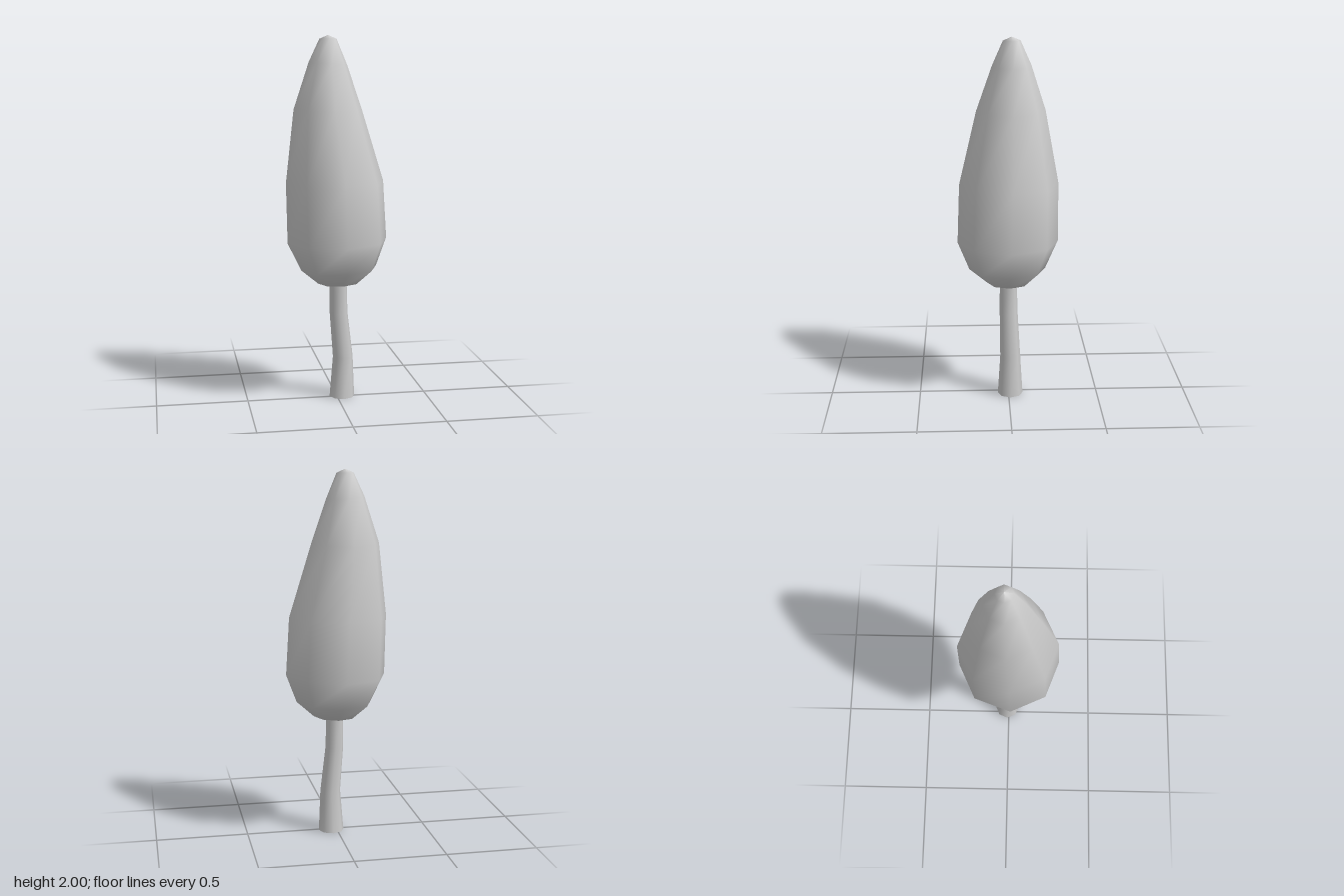
import * as THREE from 'three';

const SIDES = 8;

// Smooth skin through eight-sided rings [y, centreX, centreZ, radius, tilt];
// radius 0 makes a pole.
function loft(rings, twist) {
  const positions = [], index = [];
  for (const [y, cx, cz, r, tilt = 0] of rings) {
    for (let i = 0; i < SIDES; i++) {
      const a = (i / SIDES) * Math.PI * 2 + twist;
      const dx = Math.cos(a) * r;
      positions.push(cx + dx, y + dx * tilt, cz - Math.sin(a) * r);
    }
  }
  for (let j = 0; j < rings.length - 1; j++) {
    for (let i = 0; i < SIDES; i++) {
      const k = (i + 1) % SIDES;
      const a = j * SIDES + i, b = j * SIDES + k;
      const c = a + SIDES, d = b + SIDES;
      // skip the collapsed triangles at the poles
      if (rings[j][3] > 0) index.push(a, b, d);
      if (rings[j + 1][3] > 0) index.push(a, d, c);
    }
  }
  const geometry = new THREE.BufferGeometry();
  geometry.setAttribute('position', new THREE.Float32BufferAttribute(positions, 3));
  geometry.setIndex(index);
  geometry.computeVertexNormals();
  return geometry;
}

export function createModel() {
  const model = new THREE.Group();
  model.name = 'tree';

  // Crown: egg-shaped foliage leaning towards its tip
  const crown = new THREE.Mesh(
    loft([
      [0.63, 0, 0, 0],
      [0.655, 0.01, 0, 0.115, 0.03],
      [0.737, 0.01, 0.005, 0.21, 0.03],
      [0.89, 0.002, 0.002, 0.276, 0.025],
      [1.213, -0.01, -0.004, 0.27],
      [1.607, -0.047, -0.016, 0.187],
      [1.85, -0.045, -0.02, 0.105, -0.08],
      [1.98, -0.045, -0.02, 0.047],
      [2.0, -0.045, -0.02, 0],
    ], 0.04),
    new THREE.MeshStandardMaterial({ color: 0xcccccc })
  );
  crown.name = 'crown';

  // Trunk: bent, flared and open at the foot
  const trunk = new THREE.Mesh(
    loft([
      [0, 0.03, -0.01, 0.07],
      [0.23, 0.035, -0.01, 0.056],
      [0.48, 0.01, -0.002, 0.05],
      [0.68, 0.007, 0, 0.047],
    ], 0),
    new THREE.MeshStandardMaterial({ color: 0xcccccc, side: THREE.DoubleSide })
  );
  trunk.name = 'trunk';

  model.add(crown, trunk);
  return model;
}
